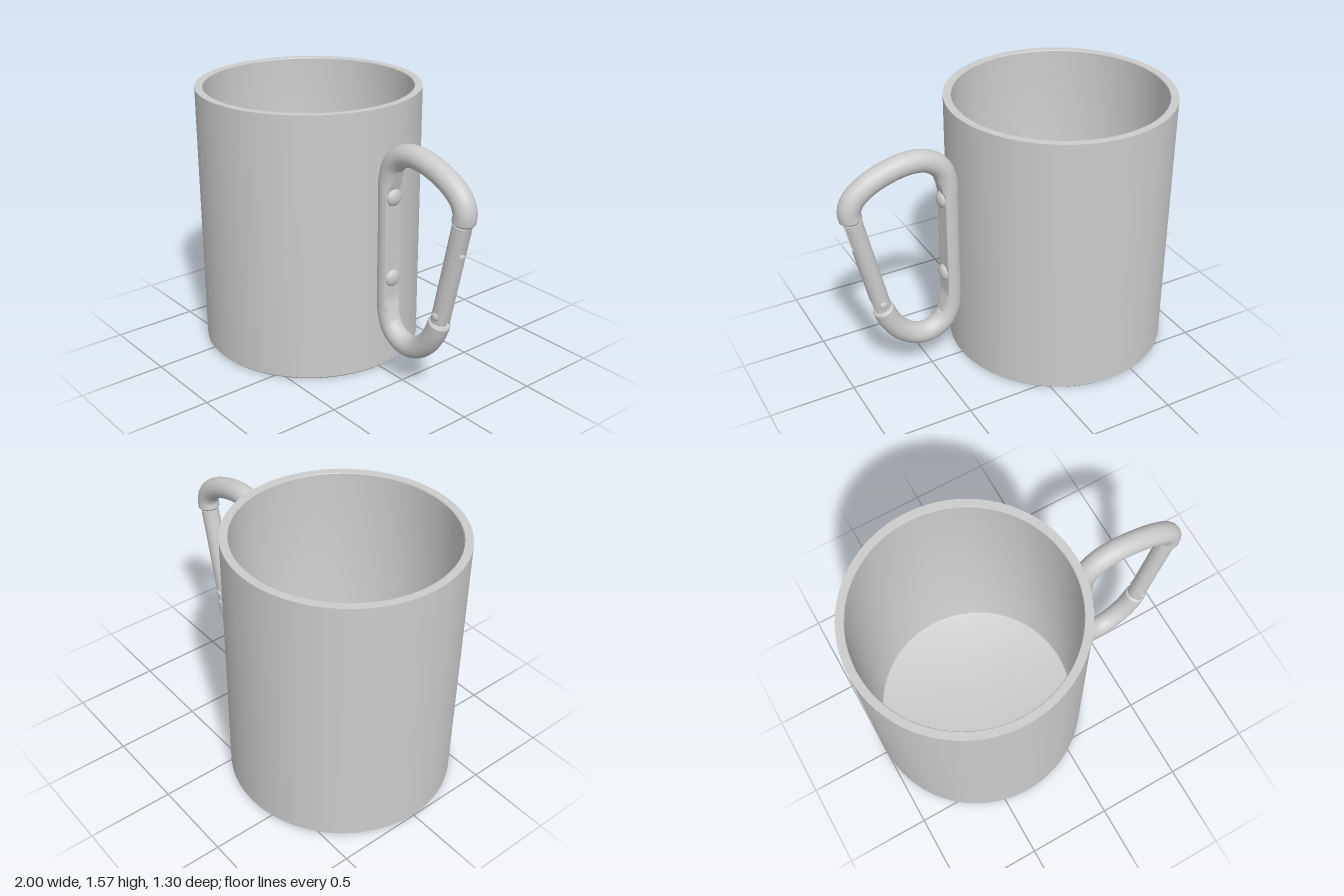
import * as THREE from 'three';
import { toCreasedNormals } from 'three/addons/utils/BufferGeometryUtils.js';

const material = new THREE.MeshStandardMaterial({ color: 0xcccccc });

function add(parent, name, geometry, x = 0, y = 0, z = 0) {
  const mesh = new THREE.Mesh(geometry, material);
  mesh.name = name;
  mesh.position.set(x, y, z);
  parent.add(mesh);
  return mesh;
}

// Shallow dome with its base on y = 0
function dome(radius, height) {
  const g = new THREE.SphereGeometry(radius, 24, 8, 0, Math.PI * 2, 0, Math.PI / 2);
  return g.scale(1, height / radius, 1);
}

// Round bar standing on y = 0, with a slot cut into its +x side
function slottedBar(radius, halfSlot, length) {
  const a = Math.asin(halfSlot / radius);
  const shape = new THREE.Shape();
  shape.absarc(0, 0, radius, a, Math.PI * 2 - a, false);
  shape.lineTo(-0.02, -halfSlot);
  shape.lineTo(-0.02, halfSlot);
  shape.closePath();
  const g = new THREE.ExtrudeGeometry(shape, { depth: length, bevelEnabled: false, curveSegments: 32 });
  return toCreasedNormals(g.rotateX(-Math.PI / 2), 0.6);
}

function createCup() {
  const profile = [
    [0, 0], [0.642, 0], [0.652, 0.01], [0.652, 1.57], [0.608, 1.57],
    [0.605, 1.565], [0.605, 0.07], [0.599, 0.056], [0.585, 0.05], [0, 0.05],
  ].map(([x, y]) => new THREE.Vector2(x, y));
  return toCreasedNormals(new THREE.LatheGeometry(profile, 72), 0.5);
}

function createHandle() {
  const handle = new THREE.Group();
  handle.name = 'carabinerHandle';
  const r = 0.0635;

  // Bent frame, open where the gate sits
  const path = [
    [0.93, 1.115], [0.936, 1.16], [0.912, 1.22], [0.84, 1.282], [0.71, 1.338],
    [0.57, 1.362], [0.47, 1.343], [0.4, 1.287], [0.369, 1.2], [0.367, 1.08],
    [0.367, 0.8], [0.367, 0.5], [0.375, 0.38], [0.42, 0.29], [0.52, 0.243],
    [0.61, 0.26], [0.69, 0.32], [0.75, 0.405], [0.784, 0.485],
  ].map(([x, y]) => new THREE.Vector3(x, y, 0));
  const curve = new THREE.CatmullRomCurve3(path, false, 'centripetal');
  const frame = new THREE.TubeGeometry(curve, 140, r, 24, false);

  // Flatten the inside of the spine
  const p = frame.attributes.position;
  for (let i = 0; i < p.count; i++) {
    const y = p.getY(i);
    if (p.getX(i) > 0.45 || y < 0.35 || y > 1.25) continue;
    const limit = 0.4 + Math.max(0, Math.abs(y - 0.8) - 0.32) * 0.3;
    p.setX(i, Math.min(p.getX(i), limit));
  }
  add(handle, 'frame', toCreasedNormals(frame, 0.6));

  // Chamfered ends of the frame
  for (const [t, sign] of [[0, -1], [1, 1]]) {
    const dir = curve.getTangent(t).multiplyScalar(sign);
    const at = curve.getPoint(t).addScaledVector(dir, 0.006);
    const end = add(handle, 'frameEnd', new THREE.CylinderGeometry(0.054, r, 0.012, 24), at.x, at.y, 0);
    end.quaternion.setFromUnitVectors(new THREE.Vector3(0, 1, 0), dir);
  }

  // Rivets holding the spine to the cup
  for (const y of [1.09, 0.61]) {
    add(handle, 'rivet', dome(0.05, 0.028), 0.398, y, 0).rotation.z = -Math.PI / 2;
  }

  // Gate: solid middle, slotted ends with a tongue in each slot
  const gate = new THREE.Group();
  gate.name = 'gate';
  gate.position.set(0.789, 0.5, 0);
  gate.rotation.z = -Math.atan2(0.136, 0.61);
  handle.add(gate);
  const gr = 0.053, length = 0.612, low = 0.075, high = 0.17;
  const middle = length - low - high;
  add(gate, 'gateBar', new THREE.CylinderGeometry(gr, gr, middle, 32), 0, low + middle / 2, 0);
  add(gate, 'gateLowerFork', slottedBar(gr, 0.02, low));
  add(gate, 'gateUpperFork', slottedBar(gr, 0.02, high), 0, length - high, 0);
  add(gate, 'lowerTongue', new THREE.BoxGeometry(0.06, low + 0.02, 0.022), 0.012, low / 2 - 0.015, 0);
  add(gate, 'upperTongue', new THREE.BoxGeometry(0.06, high, 0.022), 0.012, length - high / 2 + 0.012, 0);

  // Hinge pin with a domed head on both sides
  const pinY = 0.045;
  add(gate, 'hingePin', new THREE.CylinderGeometry(0.023, 0.023, 0.106, 20), 0, pinY, 0).rotation.x = Math.PI / 2;
  for (const side of [1, -1]) {
    add(gate, 'pinHead', dome(0.023, 0.01), 0, pinY, side * 0.053).rotation.x = side * Math.PI / 2;
  }
  return handle;
}

export function createModel() {
  const model = new THREE.Group();
  model.name = 'carabinerMug';
  add(model, 'cup', createCup(), -0.348, 0, 0);
  model.add(createHandle());
  return model;
}
